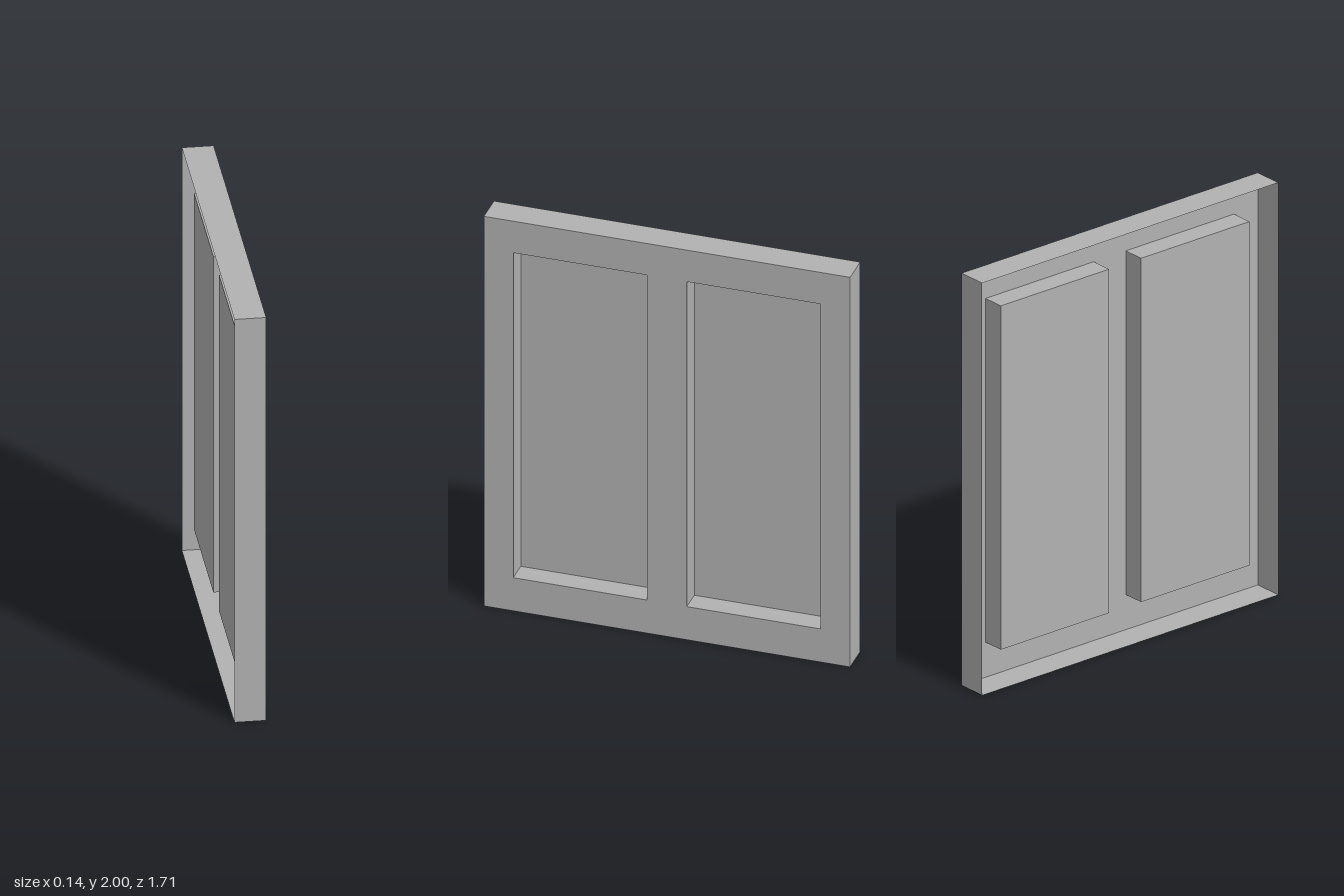
import * as THREE from 'three';

const H = 2, W = 1.71, T = 0.142;      // height, width (z), thickness (x)
const DEPTH = 0.106;                   // how far the panels are pressed in
const Y0 = 0.17, Y1 = 1.838;           // panel bottom and top
const Z0 = 0.0925, Z1 = 0.7175;        // panel inner and outer edges

// Box keeping only some faces, numbered +x, -x, +y, -y, +z, -z
function partialBox(x, y, z, faces) {
  const geo = new THREE.BoxGeometry(x, y, z);
  const index = Array.from(geo.index.array);
  geo.setIndex(faces.flatMap((f) => index.slice(f * 6, f * 6 + 6)));
  geo.clearGroups();
  return geo;
}

export function createModel() {
  const group = new THREE.Group();
  const grey = new THREE.MeshStandardMaterial({ color: 0xb2b2b2, side: THREE.DoubleSide });
  grey.name = 'grey';

  const add = (name, geo, x, y, z) => {
    const mesh = new THREE.Mesh(geo, grey);
    mesh.name = name;
    mesh.position.set(x, y, z);
    group.add(mesh);
    return mesh;
  };

  // Front sheet facing +x, with an opening for each panel
  const rect = (Type, z0, z1, y0, y1) => new Type([
    new THREE.Vector2(z0, y0), new THREE.Vector2(z1, y0),
    new THREE.Vector2(z1, y1), new THREE.Vector2(z0, y1),
  ]);
  const sheet = rect(THREE.Shape, -W / 2, W / 2, 0, H);
  sheet.holes.push(rect(THREE.Path, -Z1, -Z0, Y0, Y1), rect(THREE.Path, Z0, Z1, Y0, Y1));
  add('frameFace', new THREE.ShapeGeometry(sheet), T / 2, 0, 0).rotation.y = Math.PI / 2;

  // Outer edge, open at the back
  add('frameRim', partialBox(T, H, W, [2, 3, 4, 5]), 0, H / 2, 0);

  // Two sunken panels: floor and four side walls
  for (const side of [1, -1]) {
    add(side > 0 ? 'frontPanel' : 'backPanel',
      partialBox(DEPTH, Y1 - Y0, Z1 - Z0, [1, 2, 3, 4, 5]),
      T / 2 - DEPTH / 2, (Y0 + Y1) / 2, side * (Z0 + Z1) / 2);
  }
  return group;
}
